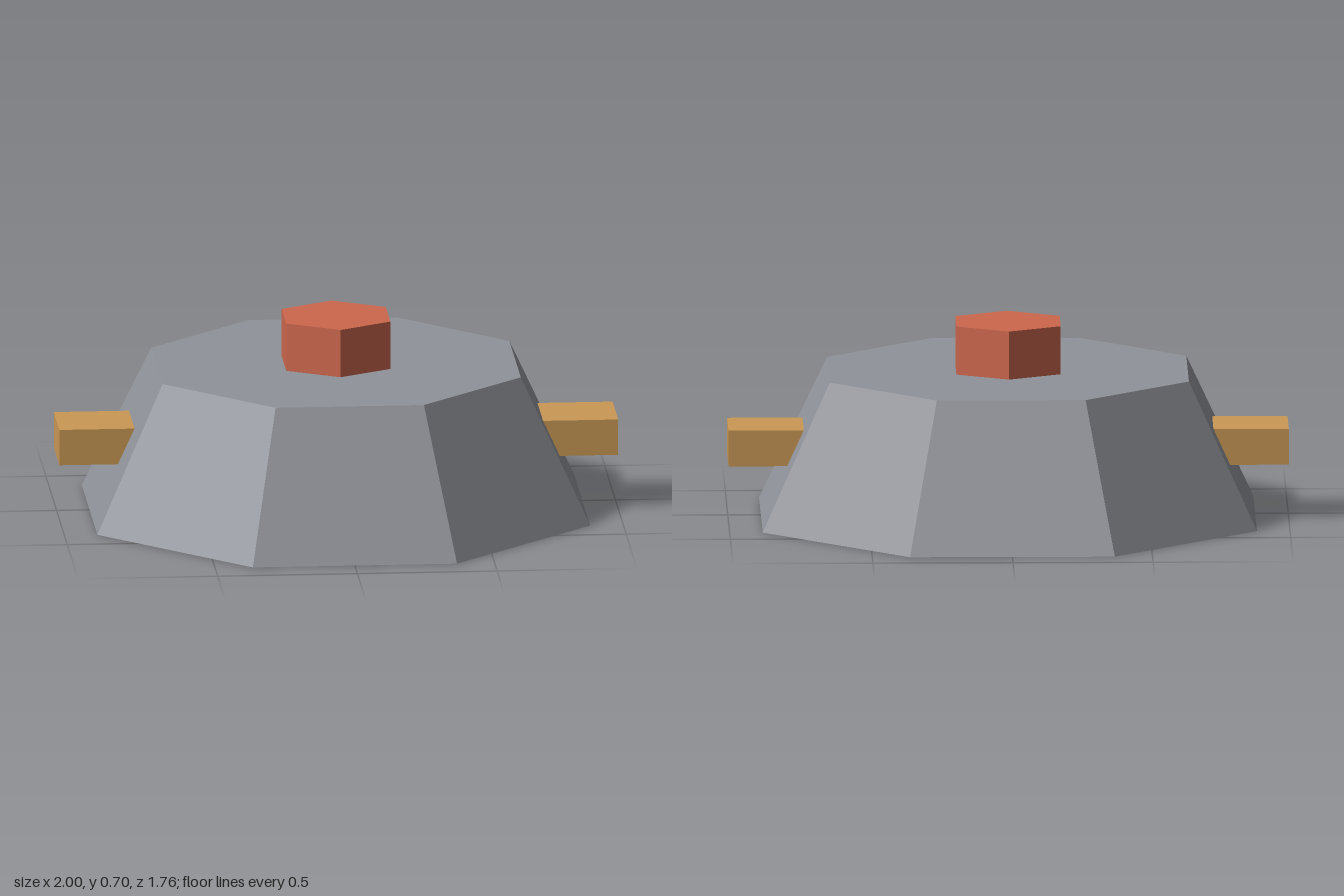
import * as THREE from 'three';

function material(name, color) {
  const m = new THREE.MeshStandardMaterial({ color, flatShading: true });
  m.name = name;
  return m;
}

export function createModel() {
  const group = new THREE.Group();
  const grey = material('slate grey', 0x8f9299);
  const red = material('brick red', 0xcd674d);
  const ochre = material('ochre', 0xca9955);

  const add = (name, geometry, mat, x, y) => {
    const mesh = new THREE.Mesh(geometry, mat);
    mesh.name = name;
    mesh.position.set(x, y, 0);
    group.add(mesh);
  };

  // Tapered octagonal body with flat sides facing the axes
  const height = 0.525;
  const corner = 1 / Math.cos(Math.PI / 8);
  const body = new THREE.CylinderGeometry(0.641 * corner, 0.882 * corner, height, 8);
  body.rotateY(Math.PI / 8);
  add('body', body, grey, 0, height / 2);

  // Hexagonal cap with corners towards front and back
  add('topCap', new THREE.CylinderGeometry(0.215, 0.215, 0.174, 6), red, 0, height + 0.087);

  // Side lugs set into the sloping walls
  for (const [name, side] of [['leftLug', 1], ['rightLug', -1]]) {
    add(name, new THREE.BoxGeometry(0.35, 0.13, 0.262), ochre, side * 0.825, 0.264);
  }

  return group;
}
